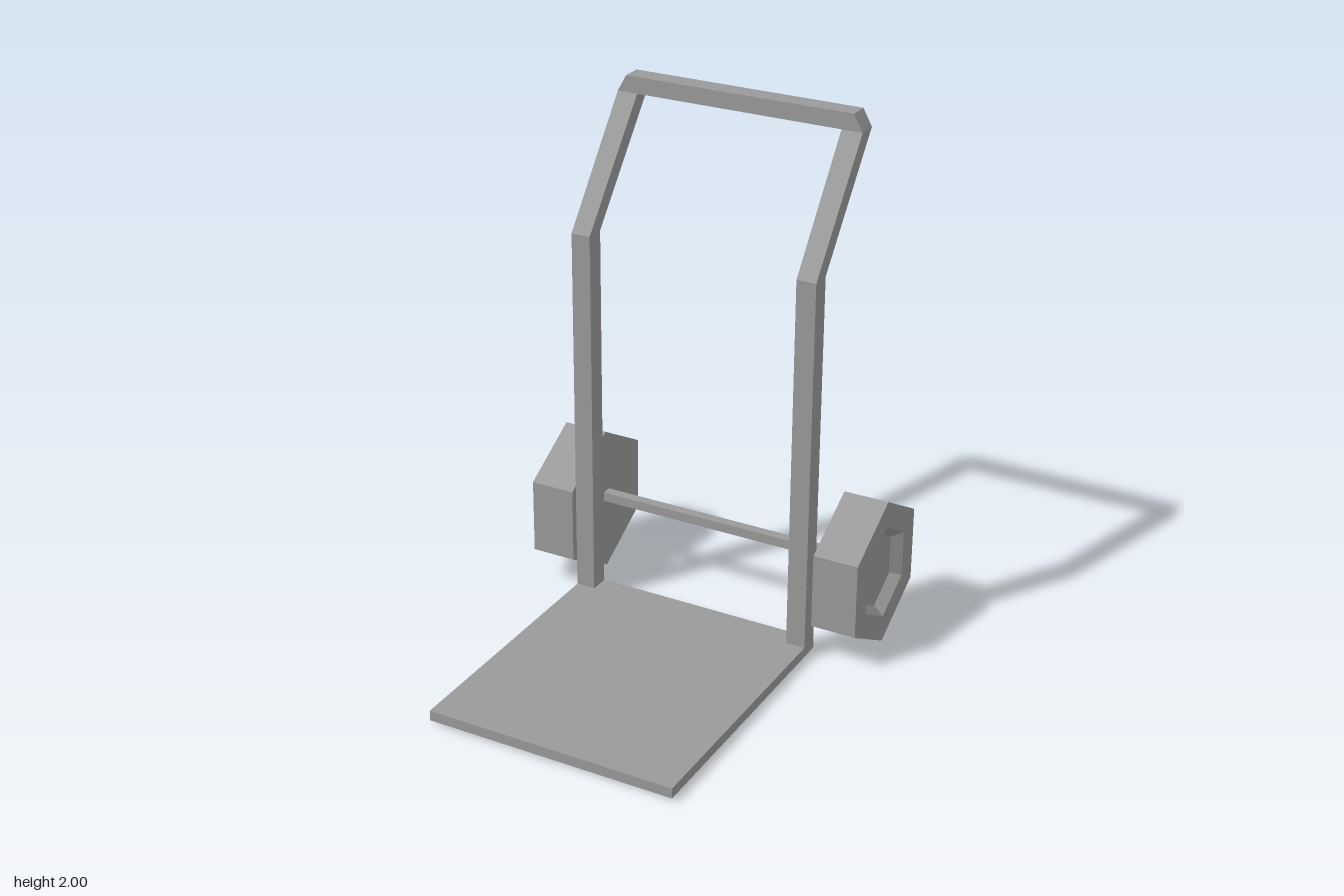
import * as THREE from 'three';

const material = new THREE.MeshStandardMaterial({ color: 0x9a9a9a });
material.flatShading = true;

function addMesh(parent, name, geometry, x = 0, y = 0, z = 0) {
  const mesh = new THREE.Mesh(geometry, material);
  mesh.name = name;
  mesh.position.set(x, y, z);
  parent.add(mesh);
  return mesh;
}

// Skins a row of four-cornered rings and caps both ends
function loft(rings) {
  const positions = [];
  const quad = (a, b, c, d) => positions.push(...a, ...b, ...c, ...a, ...c, ...d);
  for (let r = 0; r < rings.length - 1; r++) {
    for (let i = 0; i < 4; i++) {
      const j = (i + 1) % 4;
      quad(rings[r][i], rings[r][j], rings[r + 1][j], rings[r + 1][i]);
    }
  }
  quad(...[...rings[0]].reverse());
  quad(...rings[rings.length - 1]);
  const geometry = new THREE.BufferGeometry();
  geometry.setAttribute('position', new THREE.Float32BufferAttribute(positions, 3));
  geometry.computeVertexNormals();
  return geometry;
}

// Bent square tube: up one side, across the handle, down the other
function frameGeometry() {
  // outer x, outer y, inner x, inner y, front z, back z
  const half = [
    [0.485, 0.05, 0.41, 0.05, -0.25, -0.325],
    [0.485, 1.5, 0.41, 1.5, -0.25, -0.325],
    [0.485, 1.937, 0.405, 1.937, -0.59, -0.667],
    [0.45, 2, 0.405, 1.937, -0.59, -0.667],
  ];
  const ring = (side) => ([ox, oy, ix, iy, zf, zb]) => [
    [side * ox, oy, zf], [side * ox, oy, zb], [side * ix, iy, zb], [side * ix, iy, zf],
  ];
  return loft([...half.map(ring(1)), ...[...half].reverse().map(ring(-1))]);
}

// Six-sided wheel with a tapered recess in its outer face
function wheelGeometry() {
  const profile = [
    [0, -0.0875], [0.293, -0.0875], [0.293, 0.0875],
    [0.187, 0.0875], [0.152, 0.05], [0, 0.05],
  ].map(([r, y]) => new THREE.Vector2(r, y));
  return new THREE.LatheGeometry(profile, 6, Math.PI / 6).rotateZ(-Math.PI / 2);
}

export function createModel() {
  const model = new THREE.Group();
  model.name = 'handTruck';

  // Load plate and frame
  addMesh(model, 'loadPlate', new THREE.BoxGeometry(0.97, 0.04, 1.093), 0, 0.032, 0.2185);
  addMesh(model, 'frame', frameGeometry());

  // Axle and wheels
  addMesh(model, 'axle', new THREE.BoxGeometry(1.02, 0.037, 0.04), 0, 0.314, -0.513);
  const wheel = wheelGeometry();
  for (const side of [1, -1]) {
    const mesh = addMesh(model, side > 0 ? 'leftWheel' : 'rightWheel', wheel, side * 0.593, 0.295, -0.511);
    if (side < 0) mesh.rotation.y = Math.PI;
  }
  return model;
}
